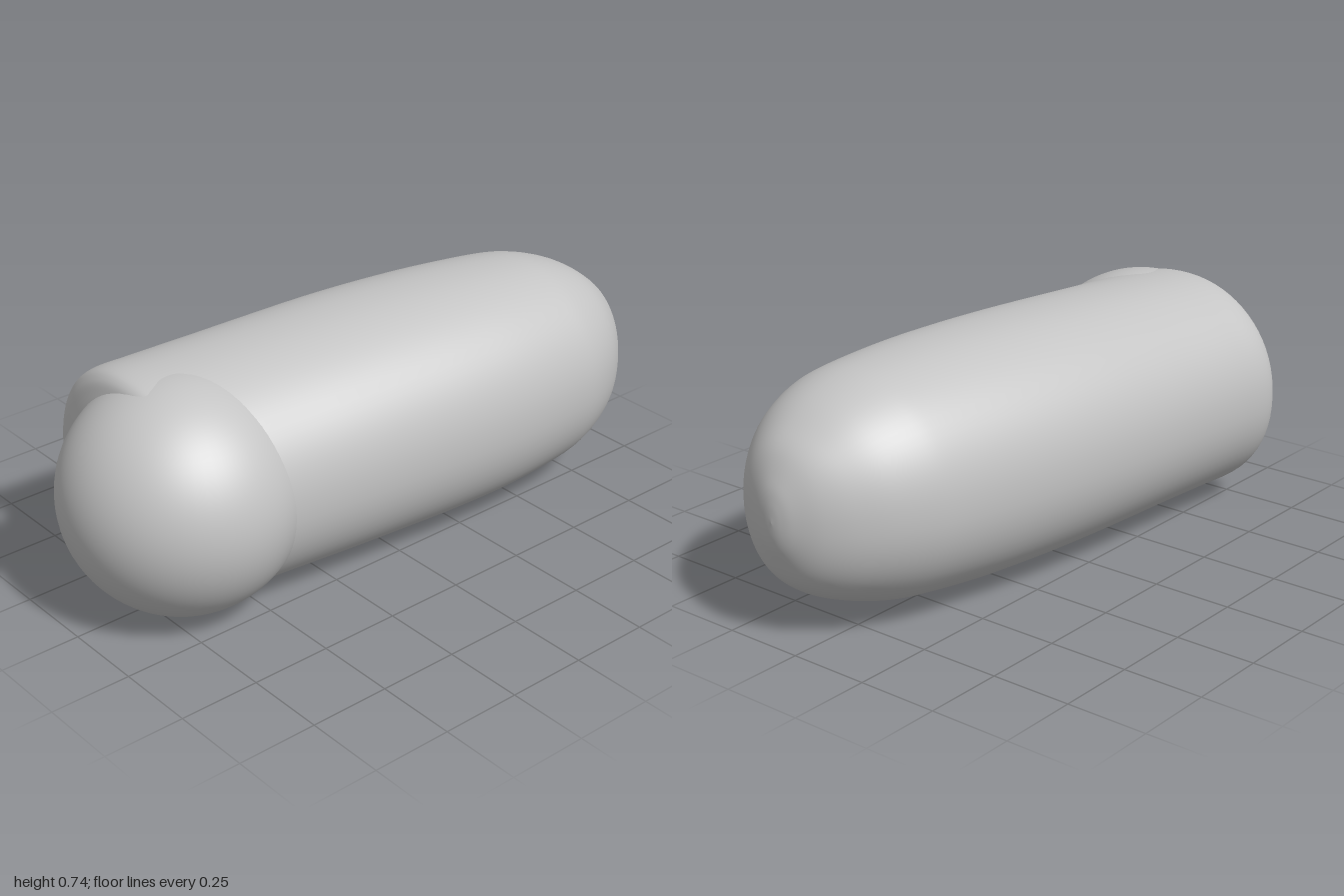
import * as THREE from 'three';

// Body stations along x: [x, back z, front z, bottom y, top y]
const STATIONS = [
  [-0.80, -0.27, 0.24, 0.11, 0.61],
  [-0.785, -0.33, 0.28, 0.06, 0.66],
  [-0.765, -0.385, 0.31, 0.02, 0.70],
  [-0.72, -0.425, 0.325, 0.01, 0.717],
  [-0.6, -0.42, 0.34, 0.01, 0.723],
  [-0.4, -0.405, 0.36, 0.009, 0.73],
  [-0.2, -0.393, 0.382, 0.007, 0.737],
  [0, -0.378, 0.40, 0.006, 0.743],
  [0.2, -0.355, 0.415, 0.007, 0.744],
  [0.4, -0.322, 0.42, 0.013, 0.74],
  [0.6, -0.28, 0.41, 0.031, 0.727],
  [0.7, -0.25, 0.395, 0.05, 0.71],
  [0.8, -0.2, 0.355, 0.084, 0.672],
  [0.88, -0.138, 0.3, 0.124, 0.62],
  [0.94, -0.07, 0.235, 0.18, 0.563],
  [0.98, 0.0, 0.155, 0.265, 0.485],
  [0.995, 0.04, 0.105, 0.32, 0.43],
  [1.0, 0.07, 0.07, 0.375, 0.375],
];

// Smooth loft of slightly squared ellipses through the stations
function loft(stations, rings, sides) {
  const centre = new THREE.CatmullRomCurve3(
    stations.map(([x, z0, z1, y0, y1]) => new THREE.Vector3(x, (y0 + y1) / 2, (z0 + z1) / 2)));
  const size = new THREE.CatmullRomCurve3(
    stations.map(([x, z0, z1, y0, y1]) => new THREE.Vector3(x, (y1 - y0) / 2, (z1 - z0) / 2)));
  // the same spline parameter must map to the same station on both curves
  centre.curveType = size.curveType = 'catmullrom';
  const round = (v) => Math.sign(v) * Math.pow(Math.abs(v), 2 / 2.12);
  const pos = [], index = [];
  for (let i = 0; i <= rings; i++) {
    const c = centre.getPoint(i / rings), s = size.getPoint(i / rings);
    for (let j = 0; j < sides; j++) {
      const a = (j / sides) * Math.PI * 2;
      pos.push(c.x, c.y + s.y * round(Math.cos(a)), c.z + s.z * round(Math.sin(a)));
    }
  }
  for (let i = 0; i < rings; i++) {
    for (let j = 0; j < sides; j++) {
      const k = (j + 1) % sides;
      const a = i * sides + j, b = i * sides + k;
      index.push(a, b, a + sides, b, b + sides, a + sides);
    }
  }
  // flat closing disc at the blunt end
  const hub = pos.length / 3, c = centre.getPoint(0);
  pos.push(c.x, c.y, c.z);
  for (let j = 0; j < sides; j++) index.push(hub, (j + 1) % sides, j);
  const g = new THREE.BufferGeometry();
  g.setAttribute('position', new THREE.Float32BufferAttribute(pos, 3));
  g.setIndex(index);
  g.computeVertexNormals();
  return g;
}

export function createModel() {
  const model = new THREE.Group();
  const grey = new THREE.MeshStandardMaterial({ color: 0xc4c4c4 });
  grey.name = 'light grey';

  // Long capsule-like body
  const body = new THREE.Mesh(loft(STATIONS, 102, 72), grey);
  body.name = 'body';

  // Ball set into the blunt end
  const ball = new THREE.Mesh(new THREE.SphereGeometry(0.36, 64, 48), grey);
  ball.name = 'endBall';
  ball.position.set(-0.64, 0.36, 0.03);

  model.add(body, ball);
  return model;
}
